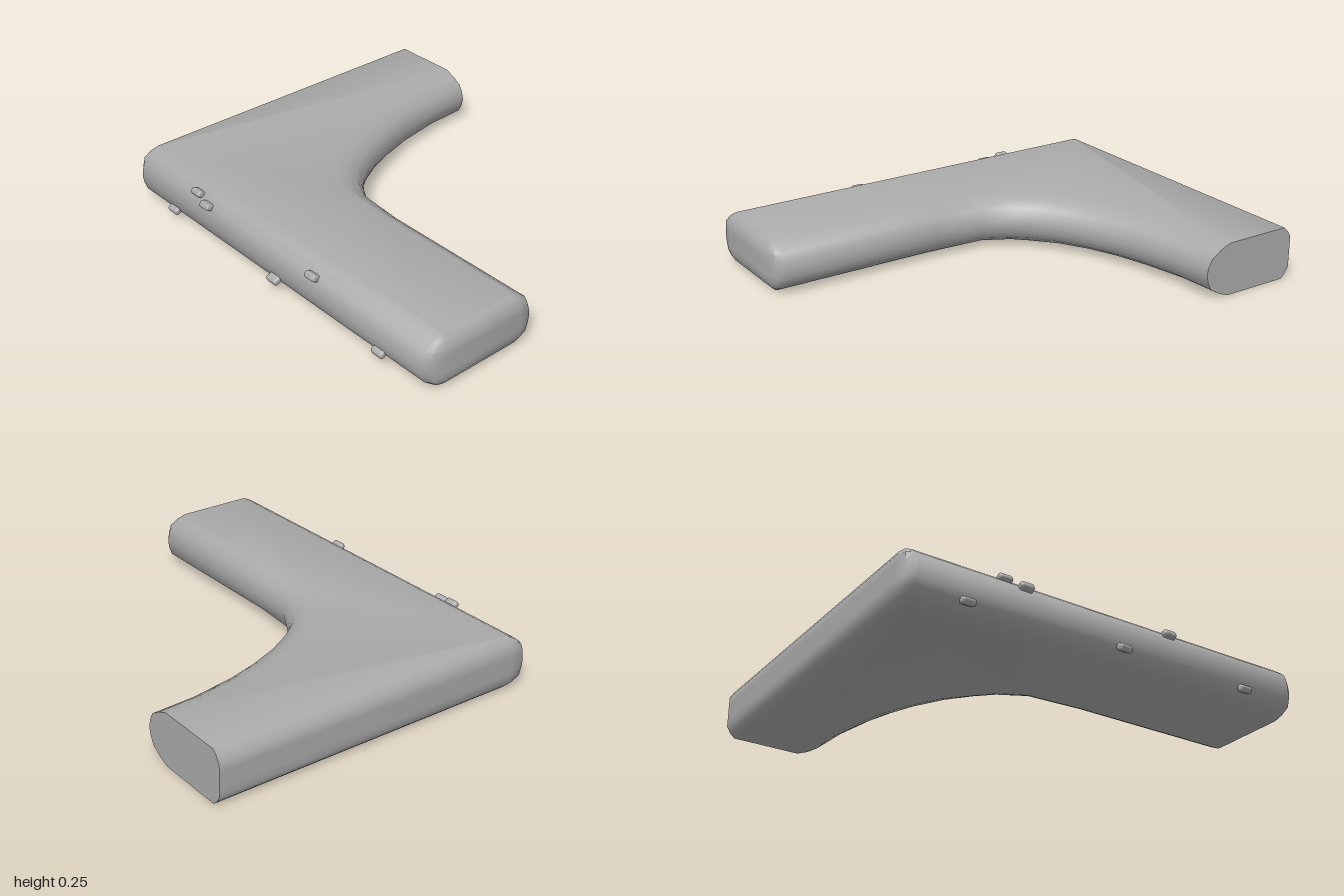
import * as THREE from 'three';
import { toCreasedNormals } from 'three/addons/utils/BufferGeometryUtils.js';
import { RoundedBoxGeometry } from 'three/addons/geometries/RoundedBoxGeometry.js';

const HEIGHT = 0.245;

// Outline corners: x, z at mid height, then x, z on the flat top and bottom
const OUTLINE = [
  [-0.81, -0.955, -0.715, -0.95], [-0.785, -0.988, -0.715, -0.957], [-0.71, -1, -0.705, -0.96],
  [0.82, -1, 0.82, -0.96], [0.82, -0.515, 0.82, -0.64],
  [0.61, -0.503, 0.6, -0.625], [0.4, -0.465, 0.4, -0.585], [0.26, -0.42, 0.23, -0.545],
  [0.125, -0.365, 0.08, -0.485], [0.01, -0.3, -0.07, -0.4], [-0.085, -0.23, -0.18, -0.3],
  [-0.13, -0.175, -0.26, -0.22], [-0.21, -0.04, -0.315, -0.105], [-0.23, 0.185, -0.33, 0.185],
  [-0.23, 0.955, -0.33, 0.955], [-0.25, 0.985, -0.335, 0.96], [-0.31, 1, -0.34, 0.962],
  [-0.71, 1, -0.705, 0.962], [-0.785, 0.985, -0.712, 0.96], [-0.81, 0.955, -0.715, 0.955],
];

// Layers: y, inset share of rounded edges, inset share of the chamfered ends
const HALF = [[0, 1, 1], [0.02, 0.6, 0.45], [0.05, 0.21, 0], [0.085, 0.07, 0]];
const LAYERS = [
  ...HALF,
  [HEIGHT / 2, 0, 0],
  ...HALF.map(([y, r, c]) => [HEIGHT - y, r, c]).reverse(),
];

function bodyGeometry() {
  const n = OUTLINE.length;
  const positions = [];
  const index = [];
  for (const [y, round, chamfer] of LAYERS) {
    for (const [x, z, tx, tz] of OUTLINE) {
      const k = Math.abs(z) > 0.94 ? chamfer : round;
      positions.push(x + (tx - x) * round, y, z + (tz - z) * k);
    }
  }
  // walls between layers
  for (let l = 0; l < LAYERS.length - 1; l++) {
    for (let i = 0; i < n; i++) {
      const a = l * n + i;
      const b = l * n + (i + 1) % n;
      index.push(a, a + n, b, b, a + n, b + n);
    }
  }
  // flat top and bottom
  const flat = OUTLINE.map(([, , x, z]) => new THREE.Vector2(x, z));
  const top = (LAYERS.length - 1) * n;
  for (const [i, j, k] of THREE.ShapeUtils.triangulateShape(flat, [])) {
    const u = flat[j].clone().sub(flat[i]);
    const v = flat[k].clone().sub(flat[i]);
    const [p, q] = u.y * v.x - u.x * v.y > 0 ? [j, k] : [k, j];
    index.push(top + i, top + p, top + q, i, q, p);
  }
  const geometry = new THREE.BufferGeometry();
  geometry.setAttribute('position', new THREE.Float32BufferAttribute(positions, 3));
  geometry.setIndex(index);
  return toCreasedNormals(geometry, 0.85);
}

export function createModel() {
  const grey = new THREE.MeshStandardMaterial({ color: 0xaaaaaa });
  grey.name = 'grey';

  const group = new THREE.Group();
  group.name = 'cornerPiece';

  const body = new THREE.Mesh(bodyGeometry(), grey);
  body.name = 'body';
  group.add(body);

  // Small nubs along the outer side: x, y, z, tilt
  const nubs = [
    [-0.777, 0.21, -0.54, -0.6], [-0.797, 0.192, -0.45, -0.4], [-0.793, 0.195, 0.285, -0.5],
    [-0.793, 0.05, -0.72, 0.5], [-0.805, 0.06, 0.035, 0.5], [-0.795, 0.055, 0.7, 0.5],
  ];
  const nubGeometry = new RoundedBoxGeometry(0.045, 0.032, 0.066, 2, 0.012);
  nubs.forEach(([x, y, z, tilt], i) => {
    const nub = new THREE.Mesh(nubGeometry, grey);
    nub.name = `nub${i + 1}`;
    nub.position.set(x, y, z);
    nub.rotation.z = tilt;
    group.add(nub);
  });
  return group;
}
